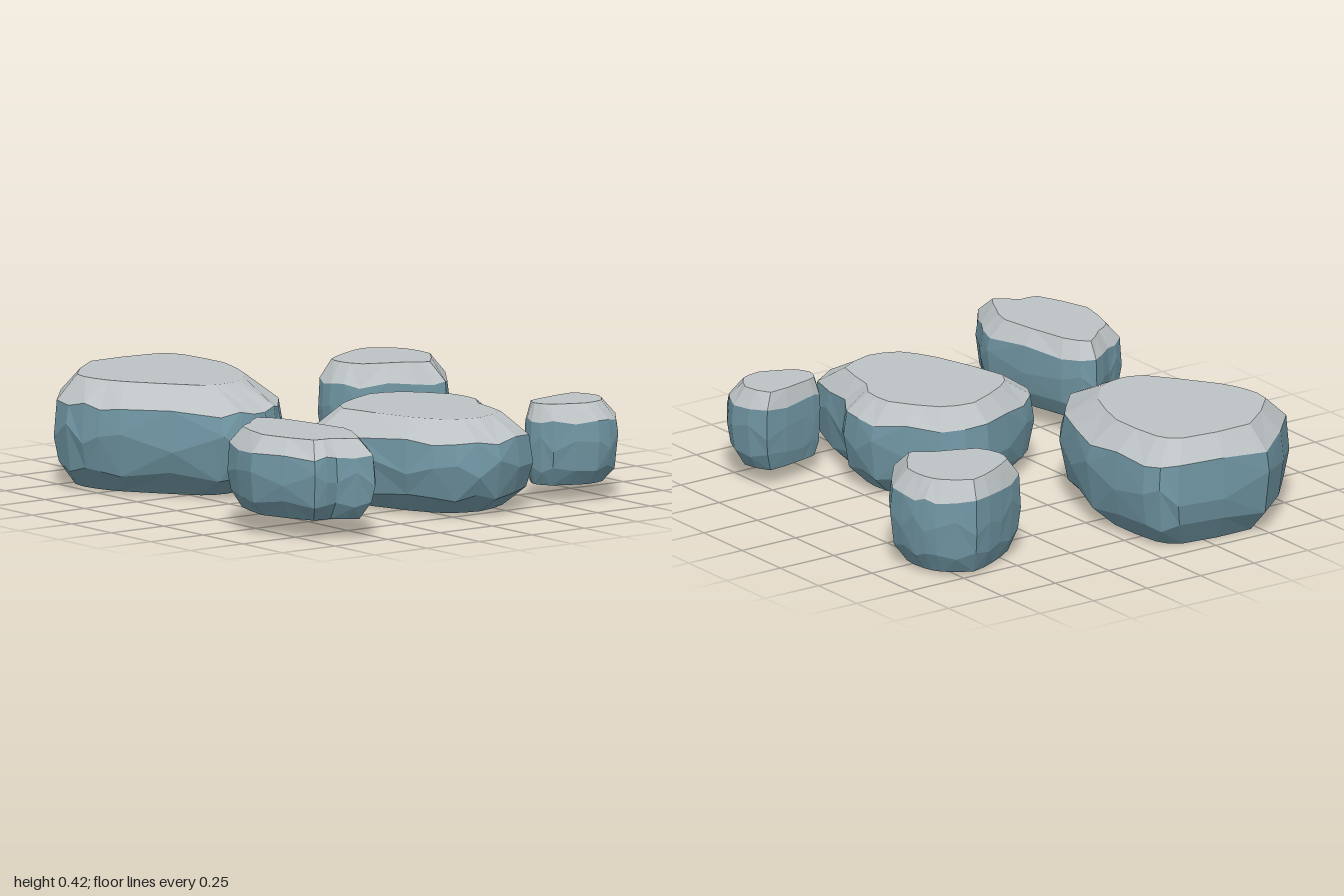
import * as THREE from 'three';

// Each rock: floor and top heights, the shift and scale (x, z) that turn its
// widest outline into its flat top, and the corners (x, z) of that outline.
const ROCKS = [
  { name: 'largeRock', floor: 0.005, top: 0.428, shift: [-0.065, -0.005], scale: [0.71, 0.74],
    outline: [[-0.98, 0.09], [-0.87, 0], [-0.53, -0.02], [-0.2, 0.09], [-0.03, 0.24], [0.01, 0.37],
      [-0.03, 0.5], [-0.37, 0.74], [-0.53, 0.8], [-0.71, 0.8], [-1, 0.5]] },
  { name: 'middleRock', floor: 0.008, top: 0.368, shift: [-0.04, -0.02], scale: [0.74, 0.71],
    outline: [[-0.05, -0.13], [0, -0.32], [0.22, -0.49], [0.4, -0.49], [0.51, -0.42], [0.78, -0.36],
      [0.87, -0.14], [0.82, 0.03], [0.64, 0.14], [0.22, 0.26], [0.08, 0.14]] },
  { name: 'frontRock', floor: 0.08, top: 0.39, shift: [-0.01, -0.005], scale: [0.82, 0.72],
    outline: [[0.24, 0.58], [0.35, 0.49], [0.72, 0.41], [0.86, 0.47], [0.99, 0.55], [0.91, 0.67],
      [0.9, 0.77], [0.64, 0.88], [0.4, 0.81], [0.34, 0.71]] },
  { name: 'backRock', floor: 0.015, top: 0.385, shift: [-0.015, 0], scale: [0.755, 0.76],
    outline: [[-0.78, -0.71], [-0.69, -0.84], [-0.6, -0.88], [-0.45, -0.88], [-0.25, -0.73],
      [-0.31, -0.64], [-0.4, -0.42], [-0.52, -0.37], [-0.62, -0.39], [-0.72, -0.55]] },
  { name: 'smallRock', floor: 0.07, top: 0.383, shift: [-0.02, 0.01], scale: [0.69, 0.79],
    outline: [[0.51, -0.77], [0.67, -0.82], [0.8, -0.75], [0.83, -0.64], [0.75, -0.48],
      [0.66, -0.44], [0.58, -0.47], [0.55, -0.56]] },
];

// Cross-sections: height fraction, blend from top outline to widest outline, unevenness
const RINGS = [
  [0, 0.05, 0], [0.2, 0.78, 0.035], [0.52, 1, 0.09], [0.79, 0.87, 0.025], [1, 0, 0],
];
const COLOUR_RING = 3;

function makeRings({ floor, top, shift, scale, outline }) {
  const corners = outline.map(([x, z]) => new THREE.Vector3(x, 0, z));
  const centre = new THREE.Box3().setFromPoints(corners).getCenter(new THREE.Vector3());
  // One extra corner, gently curved, between each given pair
  const curve = new THREE.CatmullRomCurve3(corners, true, 'catmullrom', 0.3);
  const widest = curve.getPoints(corners.length * 2).slice(0, -1);
  const offset = new THREE.Vector3(shift[0], 0, shift[1]);
  const squeeze = new THREE.Vector3(scale[0], 0, scale[1]);
  return RINGS.map(([fraction, blend, rough]) => widest.map((p, i) => {
    const point = p.clone().sub(centre).multiply(squeeze).add(centre).add(offset).lerp(p, blend);
    point.y = floor + (top - floor) * (fraction + rough * Math.sin(i * 2.4 + fraction * 9));
    return point;
  }));
}

function facetMesh(triangles, material, name) {
  const geometry = new THREE.BufferGeometry().setFromPoints(triangles);
  geometry.computeVertexNormals();
  const mesh = new THREE.Mesh(geometry, material);
  mesh.name = name;
  return mesh;
}

// Facets between two neighbouring rings, with alternating diagonals
function band(low, high) {
  return low.flatMap((a, i) => {
    const j = (i + 1) % low.length;
    const b = low[j], c = high[i], d = high[j];
    return i % 2 ? [b, a, c, b, c, d] : [b, a, d, a, c, d];
  });
}

// Flat cap fanned from the ring centre
function cap(ring, up) {
  const centre = new THREE.Vector3();
  ring.forEach((p) => centre.addScaledVector(p, 1 / ring.length));
  return ring.flatMap((p, i) => {
    const q = ring[(i + 1) % ring.length];
    return up ? [centre, q, p] : [centre, p, q];
  });
}

export function createModel() {
  const stone = new THREE.MeshStandardMaterial({ color: 0x6f95a2 });
  stone.name = 'blueStone';
  const crown = new THREE.MeshStandardMaterial({ color: 0xbcc2c4 });
  crown.name = 'paleStone';

  const model = new THREE.Group();
  model.name = 'rocks';
  for (const rock of ROCKS) {
    const rings = makeRings(rock);
    const lower = cap(rings[0], false);
    const upper = cap(rings[rings.length - 1], true);
    for (let k = 0; k < rings.length - 1; k++) {
      (k < COLOUR_RING ? lower : upper).push(...band(rings[k], rings[k + 1]));
    }
    const group = new THREE.Group();
    group.name = rock.name;
    group.add(facetMesh(lower, stone, 'rockBody'), facetMesh(upper, crown, 'rockTop'));
    model.add(group);
  }
  return model;
}
